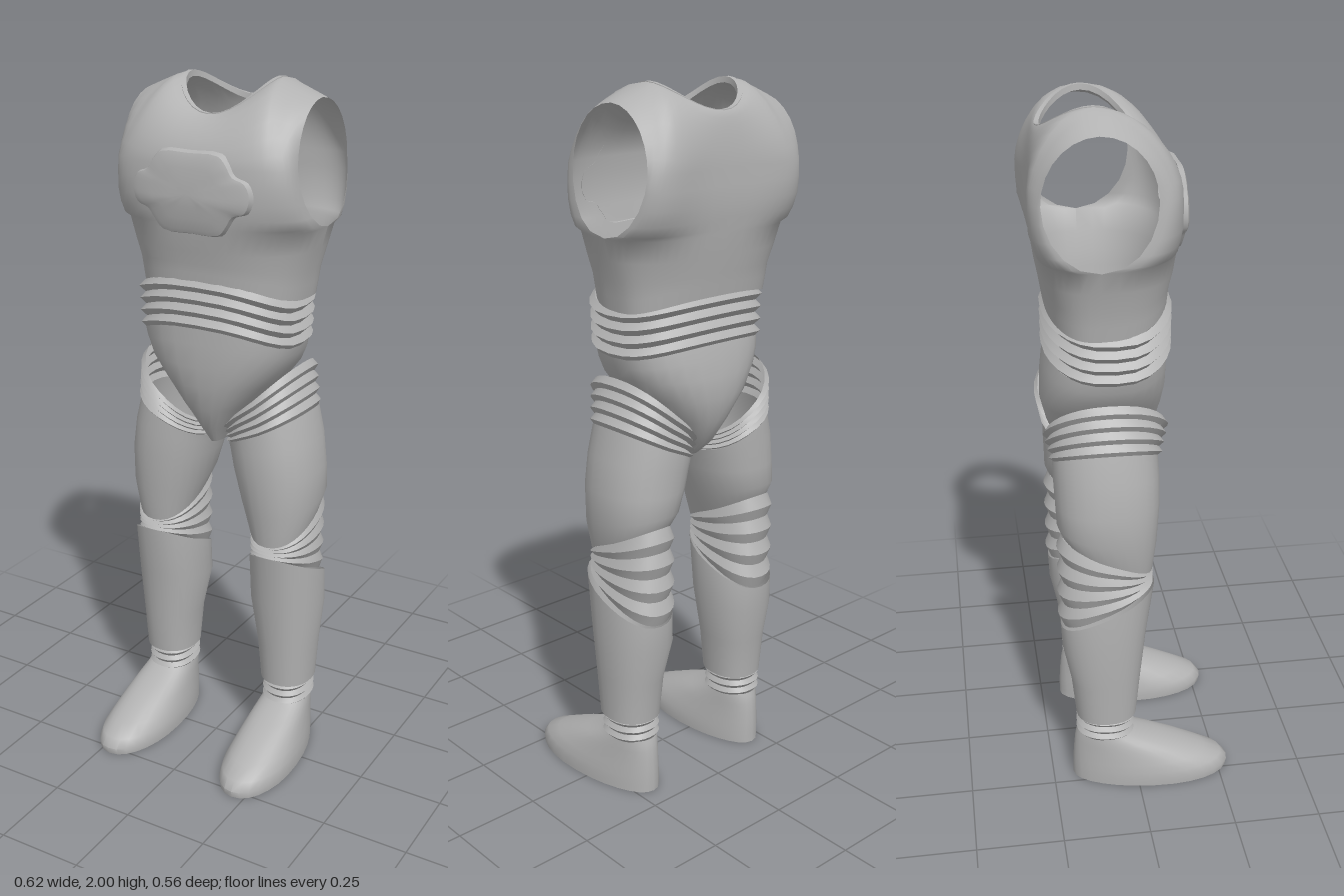
import * as THREE from 'three';
import { mergeGeometries, toCreasedNormals } from 'three/addons/utils/BufferGeometryUtils.js';

const { lerp, clamp } = THREE.MathUtils;
const V = (x, y, z) => new THREE.Vector3(x, y, z);
const spow = (v, q) => Math.sign(v) * Math.abs(v) ** q;
const N = 28;

// Linear lookup in a small [key, value] table
function table(rows, k) {
  let i = 1;
  while (i < rows.length - 1 && k > rows[i][0]) i++;
  const [a, b] = [rows[i - 1], rows[i]];
  return lerp(a[1], b[1], clamp((k - a[0]) / (b[0] - a[0]), 0, 1));
}

// Surface through rows of points, listed from the bottom up
function loft(rows, closed = true) {
  const n = rows[0].length, pos = [], idx = [];
  rows.forEach(r => r.forEach(p => pos.push(p.x, p.y, p.z)));
  for (let r = 0; r < rows.length - 1; r++) {
    for (let i = 0; i < (closed ? n : n - 1); i++) {
      const a = r * n + i, b = r * n + (i + 1) % n;
      idx.push(a, a + n, b, b, a + n, b + n);
    }
  }
  const g = new THREE.BufferGeometry();
  g.setAttribute('position', new THREE.Float32BufferAttribute(pos, 3));
  g.setIndex(idx);
  return g;
}

// Rounded cross-section between x0..x1 and z0..z1; y may be a function of (cos, sin)
function ring(x0, x1, z0, z1, y, q = 0.9) {
  return Array.from({ length: N }, (_, i) => {
    const t = (i / N) * Math.PI * 2, c = Math.cos(t), s = Math.sin(t);
    return V((x0 + x1) / 2 + (x1 - x0) / 2 * spow(c, q),
      typeof y === 'function' ? y(c, s) : y,
      (z0 + z1) / 2 + (z1 - z0) / 2 * spow(s, q));
  });
}

// Zigzag bellows: section(t, inset) gives a ring, t runs from bottom to top
const pleats = (count, depth, section) => loft(Array.from({ length: count * 2 + 1 },
  (_, k) => section(k / (count * 2), k % 2 ? 0 : depth)));

const arch = (y, amount = 1) => (c, s) => y + amount * (s > 0 ? 0.055 : 0.03) * s * s;

// Torso outline: half width, front and back centre depth by height
const HALF = [[1.42, 0.243], [1.5, 0.255], [1.63, 0.29], [1.72, 0.276], [1.79, 0.268]];
const FRONT = [[1.42, 0.105], [1.5, 0.11], [1.6, 0.125], [1.7, 0.14], [1.79, 0.135]];
const BACK = [[1.42, -0.225], [1.5, -0.235], [1.6, -0.25], [1.7, -0.262], [1.79, -0.26]];
const ARM_Y = 1.79, Q = 0.77, ZC = -0.1;

// Depth of the torso's side edge: a seam below the armhole, then the armhole's rim
function edgeZ(y, sg) {
  const s = (ARM_Y - y) / 0.17;
  return ZC + sg * 0.147 * Math.sqrt(Math.max(0, 1 - s * s));
}

function frontZ(x, y) {
  const yy = Math.min(y, ARM_Y), u = Math.min(1, Math.abs(x) / table(HALF, yy));
  const e = edgeZ(yy, 1);
  return e + (table(FRONT, yy) - e) * (1 - u ** (2 / Q)) ** (Q / 2) - Math.max(0, y - ARM_Y) * 0.15;
}

const neckPoint = (t, k = 1, drop = 0) => {
  const s = Math.sin(t);
  return V(0.145 * k * Math.cos(t), 2 - drop - (s > 0 ? 0.09 : 0.07) * s * s, ZC + (s > 0 ? 0.14 : 0.135) * k * s);
};

// Front (sg 1) or back (sg -1) of the vest, from waist to shoulder line
function vestHalf(sg) {
  const M = 12, K = 4, cols = [...Array(2 * M + 1).keys()];
  const base = (j, y) => {
    const t = (j / (2 * M)) * Math.PI, c = sg * Math.cos(t), s = Math.max(0, Math.sin(t));
    const e = edgeZ(y, sg), mid = table(sg > 0 ? FRONT : BACK, y);
    const blade = sg < 0 ? 0.018 * Math.sin(2 * t) ** 2 * clamp((y - 1.5) / 0.2, 0, 1) : 0;
    const fade = Math.max(0, 1 - (y - 1.42) / 0.14);
    return V(table(HALF, y) * spow(c, Q), arch(y, fade)(c, sg * s), e + (mid - e) * s ** Q - blade);
  };
  const top = j => {
    const k = Math.min(j, 2 * M - j), side = (j <= M ? 1 : -1) * sg;
    const p = k <= K ? V(lerp(0.26, 0.145, k / K), lerp(1.955, 2, k / K), ZC)
      : neckPoint(sg * (k - K) / (M - K) * Math.PI / 2);
    p.x *= side;
    return p;
  };
  const rows = [1.42, 1.46, 1.5, 1.56, 1.62, 1.632, 1.66, 1.7, 1.745, ARM_Y].map(y => cols.map(j => base(j, y)));
  for (let i = 1; i <= 7; i++) {
    const a = i / 7 * Math.PI / 2;
    rows.push(cols.map(j => {
      const p = base(j, ARM_Y), q = top(j), e = 1 + 0.3 * Math.sin(j / (2 * M) * Math.PI);
      const w = i === 7 ? 0 : Math.cos(a) ** e;
      return V(lerp(p.x, q.x, i / 7), lerp(p.y, q.y, Math.sin(a) ** e), lerp(q.z, p.z, w));
    }));
  }
  return loft(rows, false);
}

// Raised chest panel that follows the vest's curve
function chestPlate() {
  const half = [[0, 1.61], [0.09, 1.612], [0.115, 1.64], [0.135, 1.668], [0.17, 1.68], [0.185, 1.72],
    [0.17, 1.76], [0.135, 1.775], [0.115, 1.805], [0.09, 1.828], [0, 1.83]];
  const pts = [...half, ...half.slice(1, -1).reverse().map(([x, y]) => [-x, y])].map(([x, y]) => V(x, y, 0));
  const outline = new THREE.CatmullRomCurve3(pts, true, 'centripetal').getPoints(60).slice(0, 60);
  const steps = [[0, 0.016], [0.3, 0.016], [0.6, 0.015], [0.85, 0.014], [0.95, 0.011], [1, -0.004]];
  return loft(steps.map(([k, h]) => outline.map(p => {
    const x = p.x * k, y = 1.72 + (p.y - 1.72) * k;
    return V(x, y, frontZ(x, y) + h);
  })));
}

export function createModel() {
  const model = new THREE.Group();
  model.name = 'suit';
  const grey = new THREE.MeshStandardMaterial({ color: 0xb2b2b2, side: THREE.DoubleSide });
  grey.name = 'grey';

  const add = (parent, name, geometry, crease = 0.7) => {
    // scaled up so that small pleats keep separate normals
    const g = toCreasedNormals(geometry.scale(100, 100, 100), crease).scale(0.01, 0.01, 0.01);
    const mesh = new THREE.Mesh(g, grey);
    mesh.name = name;
    parent.add(mesh);
  };

  // Vest with neck rim and chest panel
  add(model, 'vest', mergeGeometries([vestHalf(1), vestHalf(-1)]), 0.9);
  const neckRow = (k, drop) => Array.from({ length: 32 }, (_, i) => neckPoint(i / 32 * Math.PI * 2, k, drop));
  add(model, 'neckRim', loft([neckRow(1, 0.006), neckRow(1, -0.002), neckRow(0.91, -0.002), neckRow(0.9, 0.014)]));
  add(model, 'chestPlate', chestPlate());

  // Waist bellows
  add(model, 'waistBellows', pleats(4, 0.016, (t, d) => {
    const w = lerp(0.245, 0.252, t) - d;
    return ring(-w, w, -0.235 + d, 0.118 - d, arch(lerp(1.285, 1.425, t)), Q);
  }), 0.4);

  // Pelvis, narrowing to the crotch
  const hips = [[0.985, 0.02, -0.14, 0.02], [1.03, 0.045, -0.19, 0.05], [1.1, 0.1, -0.225, 0.083],
    [1.17, 0.165, -0.243, 0.098], [1.23, 0.212, -0.24, 0.105]];
  add(model, 'pelvis', loft([
    ring(0, 0, -0.06, -0.06, 0.985),
    ...hips.map(([y, w, z0, z1]) => ring(-w, w, z0, z1, y, 0.8)),
    ring(-0.228, 0.228, -0.233, 0.106, arch(1.265, 0.6), Q),
    ring(-0.235, 0.235, -0.225, 0.105, arch(1.29), Q),
  ]), 0.9);

  const leg = new THREE.Group();
  leg.name = 'leftLeg';

  // Hip bellows, fanning out from the crotch to the outer hip
  add(leg, 'hipBellows', pleats(4, 0.012, (t, d) => ring(0.025 + d, lerp(0.27, 0.248, t) - d,
    lerp(-0.232, -0.25, t) + d, lerp(0.078, 0.1, t) - d,
    c => lerp(lerp(0.98, 1.03, t), lerp(1.095, 1.235, t), (c + 1) / 2))), 0.4);

  // Thigh
  add(leg, 'thigh', loft([
    ring(0.1, 0.28, -0.205, 0.047, (c, s) => 0.765 - 0.062 * s),
    ring(0.072, 0.298, -0.22, 0.06, (c, s) => 0.83 - 0.03 * s),
    ring(0.045, 0.297, -0.222, 0.07, 0.92),
    ring(0.035, 0.285, -0.225, 0.07, c => 0.99 + 0.025 * c),
    ring(0.03, 0.265, -0.225, 0.068, c => 1.04 + 0.06 * c),
  ]), 0.9);

  // Knee bellows, narrow in front and wide behind
  add(leg, 'kneeBellows', pleats(4, 0.014, (t, d) => ring(0.098 + d * 0.7, 0.287 - d * 0.7, -0.224 + d, 0.05 - d * 0.7,
    (c, s) => lerp(lerp(0.54, 0.83, t), lerp(0.665, 0.705, t), (s + 1) / 2))), 0.4);

  // Lower leg
  add(leg, 'shin', loft([
    ring(0.127, 0.283, -0.177, 0, 0.225),
    ring(0.117, 0.29, -0.19, 0.012, 0.35),
    ring(0.093, 0.3, -0.213, 0.03, (c, s) => 0.485 + 0.025 * s),
    ring(0.097, 0.298, -0.217, 0.053, (c, s) => 0.605 + 0.066 * s),
  ]), 0.9);

  // Ankle bellows
  add(leg, 'ankleBellows', pleats(3, 0.01, (t, d) =>
    ring(0.132 + d, 0.278 - d, -0.178 + d, -0.006 - d, (c, s) => lerp(0.155, 0.23, t) - 0.006 * s)), 0.4);

  // Foot: egg-shaped layers, wider toward the toe, with a flat sole
  const layers = [[0, 0.095, -0.19, 0.278], [0.02, 0.096, -0.19, 0.282], [0.045, 0.094, -0.19, 0.262],
    [0.07, 0.089, -0.189, 0.21], [0.1, 0.083, -0.187, 0.145], [0.13, 0.077, -0.184, 0.07],
    [0.15, 0.073, -0.18, 0.015], [0.165, 0.07, -0.175, -0.012]];
  const footRow = ([y, w, z0, z1]) => ring(-1, 1, z0, z1, y).map(p => {
    const f = clamp((p.z + 0.19) / 0.47, 0, 1);
    return V(0.203 + 0.012 * f + p.x * w * (0.84 + 0.22 * Math.sin(f * Math.PI * 0.65)), p.y, p.z);
  });
  add(leg, 'foot', loft([ring(0.21, 0.21, 0.04, 0.04, 0), ...layers.map(footRow)]), 0.9);

  model.add(leg);
  const right = leg.clone();
  right.name = 'rightLeg';
  right.scale.x = -1;
  model.add(right);
  return model;
}
